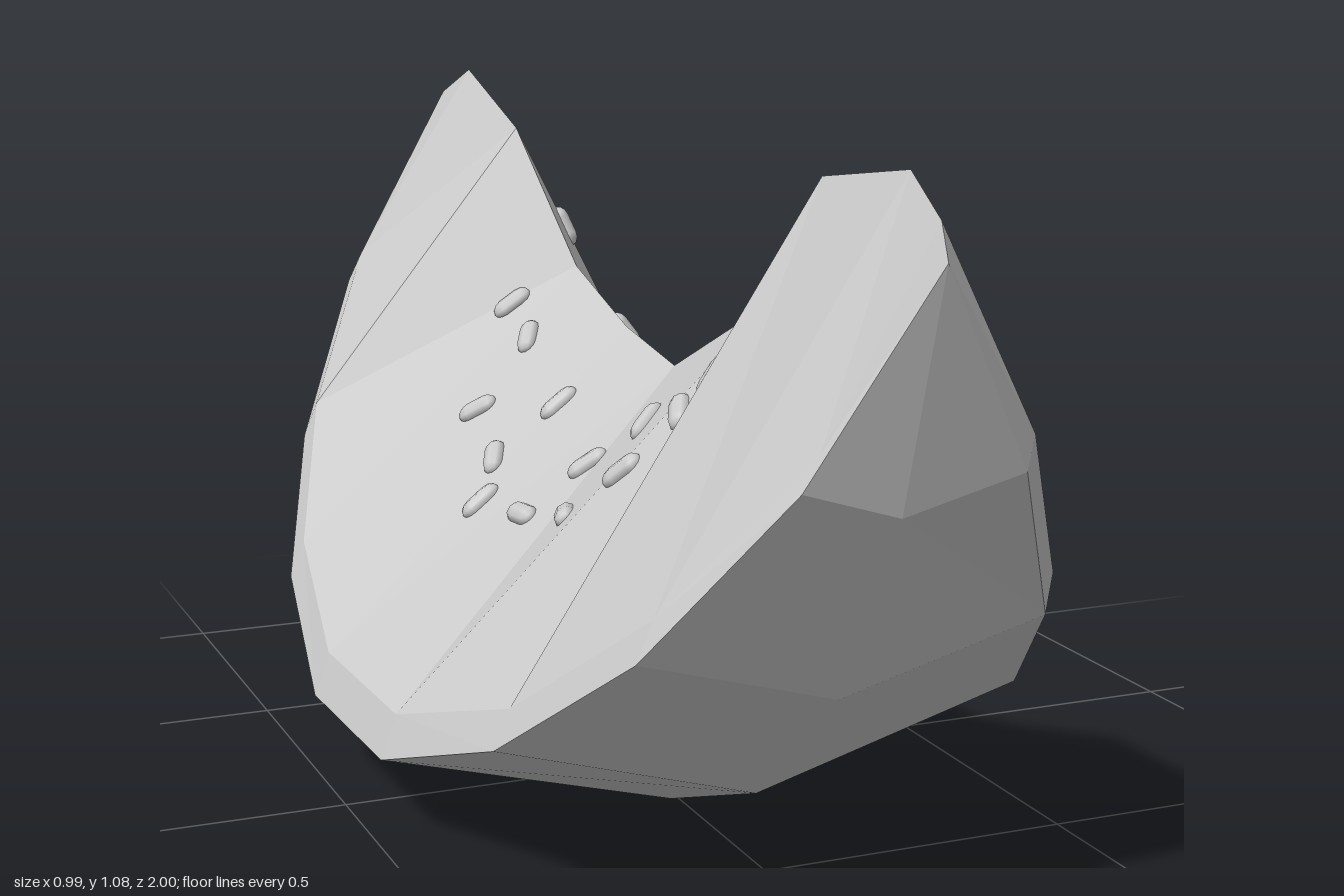
import * as THREE from 'three';

const material = () => new THREE.MeshStandardMaterial({ color: 0xcccccc, flatShading: true });

// Stations run from the front tip (+z) to the back tip (-z)
const Z = [0.98, 0.92, 0.75, 0.49, 0.17, -0.17, -0.5, -0.76, -0.93, -0.98];
const EDGE_Y = [1.03, 0.735, 0.49, 0.3, 0.2, 0.2, 0.3, 0.49, 0.735, 1.03];
const LOW_Y = [0.98, 0.685, 0.43, 0.24, 0.13, 0.13, 0.24, 0.43, 0.685, 0.98];
const KEEL_Y = [0.98, 0.64, 0.345, 0.12, 0, 0, 0.12, 0.345, 0.64, 0.98];
const LEFT_X = [0, 0.18, 0.32, 0.43, 0.49, 0.49, 0.43, 0.32, 0.18, 0];
const RIGHT_X = [0, -0.155, -0.31, -0.42, -0.49, -0.5, -0.45, -0.35, -0.21, 0];
// Bitten top ridge of the flesh
const RIDGE = [
  [0, 1.03, 0.98], [0.015, 1.08, 0.87], [0.03, 1.04, 0.59], [0.05, 0.82, 0.36], [0.06, 0.67, 0.01],
  [0.07, 0.695, -0.22], [0.08, 0.76, -0.48], [0.03, 0.99, -0.65], [0.012, 1.08, -0.86], [0, 1.03, -0.98],
];

// Joins matching cross-sections; flip(j) picks the diagonal of column j
function loft(sections, flip) {
  const pos = [];
  for (let i = 0; i < sections.length - 1; i++) {
    for (let j = 0; j < sections[i].length - 1; j++) {
      const a = sections[i][j], b = sections[i][j + 1];
      const c = sections[i + 1][j], d = sections[i + 1][j + 1];
      const tris = flip(j) ? [a, b, d, a, d, c] : [a, b, c, b, d, c];
      tris.forEach((p) => pos.push(...p));
    }
  }
  const g = new THREE.BufferGeometry();
  g.setAttribute('position', new THREE.Float32BufferAttribute(pos, 3));
  g.computeVertexNormals();
  return g;
}

export function createModel() {
  const group = new THREE.Group();
  group.name = 'melonSlice';

  const tip = (i) => i === 0 || i === Z.length - 1;
  const rightEdge = (i) => [RIGHT_X[i] + (tip(i) ? 0 : 0.025), EDGE_Y[i], Z[i]];
  const leftEdge = (i) => [LEFT_X[i], EDGE_Y[i], Z[i]];
  const lowZ = (i) => (tip(i) ? Math.sign(Z[i]) : Z[i]);

  // Flesh: two sloping faces meeting at the ridge
  const flesh = new THREE.Mesh(
    loft(Z.map((_, i) => [rightEdge(i), RIDGE[i], leftEdge(i)]), (j) => j === 1), material());
  flesh.name = 'flesh';
  group.add(flesh);

  // Rind: thin rim on each side and the faceted outer skin
  const rind = new THREE.Mesh(loft(Z.map((_, i) => [
    leftEdge(i),
    [LEFT_X[i] - (tip(i) ? 0 : 0.01), LOW_Y[i], lowZ(i)],
    [tip(i) ? 0 : -0.012, KEEL_Y[i], lowZ(i)],
    [RIGHT_X[i], LOW_Y[i], lowZ(i)],
    rightEdge(i),
  ]), (j) => j > 1), material());
  rind.name = 'rind';
  group.add(rind);

  // Seeds: flattened capsules lying on the flesh, [x, z, angle in degrees]
  const leftSeeds = [
    [0.13, -0.67, 70], [0.21, -0.52, 97], [0.15, -0.42, 75], [0.23, -0.4, 65],
    [0.21, -0.25, 50], [0.26, -0.14, -35], [0.19, 0, -35], [0.18, 0.14, 45],
    [0.28, 0.245, 50], [0.165, 0.3, -60], [0.155, 0.41, 45], [0.24, 0.41, -65],
  ];
  const rightSeeds = [
    [-0.02, -0.54, -20], [-0.03, -0.43, 60], [-0.14, -0.385, -40], [-0.165, -0.23, 65],
    [-0.06, -0.2, -15], [-0.215, -0.155, -10], [-0.195, -0.01, 95], [-0.1, 0.035, -35],
    [-0.19, 0.17, 70], [-0.065, 0.195, 30], [-0.15, 0.305, -50], [-0.075, 0.345, 65],
    [-0.065, 0.445, 15],
  ];
  const seedGeometry = new THREE.CapsuleGeometry(0.021, 0.034, 3, 8);
  const seedMaterial = new THREE.MeshStandardMaterial({ color: 0xcccccc });
  const ray = new THREE.Raycaster();
  const down = new THREE.Vector3(0, -1, 0);
  const seeds = new THREE.Group();
  seeds.name = 'seeds';
  group.add(seeds);

  // Drops a seed on the flesh; its direction is slid along axis into the surface
  function addSeed(x, z, dir, axis) {
    ray.set(new THREE.Vector3(x, 3, z), down);
    const hit = ray.intersectObject(flesh)[0];
    if (!hit) return;
    const n = hit.face.normal.clone();
    const along = dir.addScaledVector(axis, -dir.dot(n) / axis.dot(n)).normalize();
    const side = new THREE.Vector3().crossVectors(along, n);
    const seed = new THREE.Mesh(seedGeometry, seedMaterial);
    seed.name = 'seed';
    seed.quaternion.setFromRotationMatrix(new THREE.Matrix4().makeBasis(side, along, n));
    seed.scale.set(0.9, 1, 0.7);
    seed.position.copy(hit.point);
    seeds.add(seed);
  }
  for (const [x, z, deg] of leftSeeds) {
    const a = THREE.MathUtils.degToRad(deg);
    addSeed(x, z, new THREE.Vector3(0, Math.sin(a), -Math.cos(a)), new THREE.Vector3(1, 0, 0));
  }
  for (const [x, z, deg] of rightSeeds) {
    const a = THREE.MathUtils.degToRad(deg);
    addSeed(x, z, new THREE.Vector3(Math.cos(a), 0, -Math.sin(a)), new THREE.Vector3(0, 1, 0));
  }
  return group;
}
